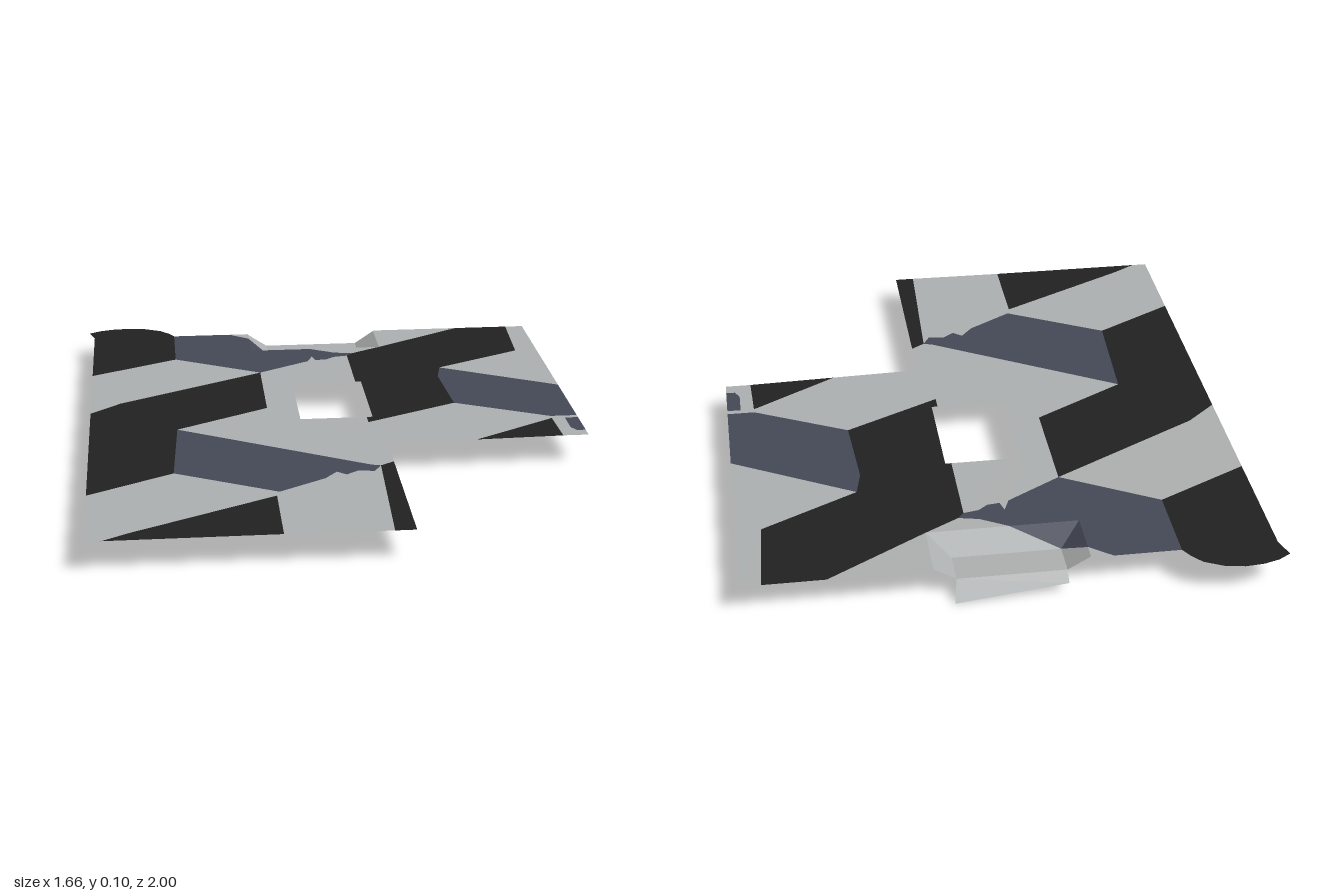
import * as THREE from 'three';

const TOP = 0.1;    // main floor level
const LOW = 0.055;  // sunken doorway level

function mat(name, color) {
  const m = new THREE.MeshStandardMaterial({ color, side: THREE.DoubleSide, flatShading: true });
  m.name = name;
  return m;
}

// Upward-facing sheet from an outline of [x, z] or [x, z, y] corners.
function sheet(group, name, material, outline) {
  const pts = outline.map(([x, z, y = TOP]) => ({ p: new THREE.Vector2(x, z), y }));
  if (THREE.ShapeUtils.isClockWise(pts.map(q => q.p))) pts.reverse();
  const faces = THREE.ShapeUtils.triangulateShape(pts.map(q => q.p), []);
  const geo = new THREE.BufferGeometry();
  geo.setAttribute('position', new THREE.Float32BufferAttribute(pts.flatMap(q => [q.p.x, q.y, q.p.y]), 3));
  geo.setIndex(faces.flatMap(([a, b, c]) => [a, c, b]));
  geo.computeVertexNormals();
  const mesh = new THREE.Mesh(geo, material);
  mesh.name = name;
  group.add(mesh);
}

export function createModel() {
  const model = new THREE.Group();
  model.name = 'floor';
  const black = mat('black tile', 0x222222);
  const blue = mat('slate blue tile', 0x454957);
  const grey = mat('light grey tile', 0xafb2b2);
  const add = (name, material, outline) => sheet(model, name, material, outline);

  // Edges shared by neighbouring tiles
  const drip1 = [[-0.21, -0.44], [-0.03, -0.55], [-0.01, -0.6], [0, -0.56], [0.04, -0.565], [0.07, -0.59], [0.12, -0.6]];
  const drip2 = [[-0.22, 0.675], [-0.07, 0.58], [-0.03, 0.53], [0.0, 0.555], [0.04, 0.525], [0.09, 0.535], [0.115, 0.49]];

  // Black zigzag tiles
  add('backLeftBlackTile', black, [
    [-0.81, -0.89], [-0.83, -0.955], [-0.79, -0.98], [-0.74, -0.995], [-0.68, -1], [-0.62, -0.99],
    [-0.56, -0.96], [-0.53, -0.925], [-0.51, -0.89], [-0.51, -0.615], [-0.81, -0.46]]);
  add('leftBlackTile', black, [
    [-0.81, -0.07], [-0.71, -0.16], [-0.21, -0.44], [-0.21, -0.07], [-0.52, 0.11], [-0.54, 0.495], [-0.81, 0.65]]);
  add('frontLeftBlackTile', black, [[-0.76, 0.995], [-0.68, 0.945], [-0.23, 0.705], [-0.23, 0.995]]);
  add('centreBlackTile', black, [
    [0.12, -0.6], [0.14, -0.625], [0.25, -0.69], [0.57, -0.89], [0.765, -0.89], [0.75, -0.6], [0.44, -0.435],
    [0.42, -0.34], [0.435, -0.06], [0.12, 0.1], [0.12, 0.05], [0.14, 0.05], [0.14, -0.31], [0.12, -0.31]]);
  add('rightBlackTile', black, [[0.455, 0.295], [0.74, 0.12], [0.745, 0.285]]);
  add('frontBlackStrip', black, [[0.115, 0.49], [0.16, 0.46], [0.16, 1], [0.095, 1]]);

  // Blue tiles
  add('backBlueTile', blue, [
    [-0.51, -0.89], [-0.3, -0.89], [-0.23, -0.835], [-0.23, -0.69], [-0.01, -0.69], [0.075, -0.64], [0.14, -0.625],
    ...[...drip1].reverse(), [-0.51, -0.615]]);
  add('frontBlueTile', blue, [[-0.52, 0.11], [0.085, 0.48], ...[...drip2].reverse(), [-0.54, 0.495]]);
  add('rightBlueTile', blue, [
    [0.44, -0.435], [0.83, -0.21], [0.83, 0.1], [0.74, 0.1], [0.435, -0.06], [0.42, -0.34]]);
  const patch = [[0.83, 0.12], [0.785, 0.12], [0.785, 0.21], [0.8, 0.24], [0.83, 0.24]];
  add('rightBluePatch', blue, patch);

  // Grey tiles
  add('leftGreyTile', grey, [
    [-0.81, -0.46], [-0.51, -0.615], [-0.21, -0.44], [-0.71, -0.16], [-0.81, -0.07]]);
  add('backGreySliver', grey, [[-0.3, -0.89], [-0.23, -0.89], [-0.23, -0.835]]);
  add('backGreyStrip', grey, [[-0.01, -0.69], [0.25, -0.69], [0.14, -0.625], [0.075, -0.64]]);
  add('backRightGreyTile', grey, [[0.25, -0.89], [0.57, -0.89], [0.25, -0.69]]);
  add('rightGreyTile', grey, [[0.765, -0.89], [0.83, -0.89], [0.83, -0.21], [0.44, -0.435], [0.75, -0.6]]);
  // The centre tile wraps two sides of the square opening
  add('centreGreyTile', grey, [
    ...drip1, [0.12, -0.31], [-0.105, -0.31], [-0.105, 0.05], [0.12, 0.05], [0.12, 0.1], [0.435, -0.06],
    [0.74, 0.1], [0.74, 0.12], [0.455, 0.295], [0.16, 0.305], [0.16, 0.46], [0.115, 0.49], [0.085, 0.48],
    [-0.52, 0.11], [-0.21, -0.07]]);
  add('rightGreyStrip', grey, [
    [0.74, 0.1], [0.83, 0.1], ...patch, [0.83, 0.285], [0.745, 0.285], [0.74, 0.12]]);
  add('frontLeftGreyTile', grey, [
    [-0.81, 0.65], [-0.54, 0.495], [-0.22, 0.675], [-0.23, 0.705], [-0.68, 0.945], [-0.76, 0.995], [-0.81, 0.995]]);
  add('frontGreyTile', grey, [...drip2, [0.095, 1], [-0.23, 0.995], [-0.23, 0.705]]);

  // Sunken doorway: sloped sides, flat bottom and a drooping lip
  const a = [-0.16, -0.88, LOW], b = [0.18, -0.88, LOW], c = [0.18, -0.77, LOW], d = [-0.16, -0.77, LOW];
  add('doorwayBottom', grey, [a, b, c, d]);
  add('doorwayLip', grey, [a, b, [0.19, -0.93, 0], [-0.16, -0.915, 0.03]]);
  add('doorwayRightSlope', grey, [[-0.23, -0.885], a, d, [-0.23, -0.835]]);
  add('doorwayRightSlopeBlue', blue, [[-0.23, -0.835], d, [-0.23, -0.69]]);
  add('doorwayFrontSlopeBlue', blue, [[-0.23, -0.69], d, [-0.01, -0.69]]);
  add('doorwayFrontSlope', grey, [[-0.01, -0.69], d, c, [0.25, -0.69]]);
  add('doorwayLeftSlope', grey, [[0.25, -0.885], b, c, [0.25, -0.69]]);

  return model;
}
